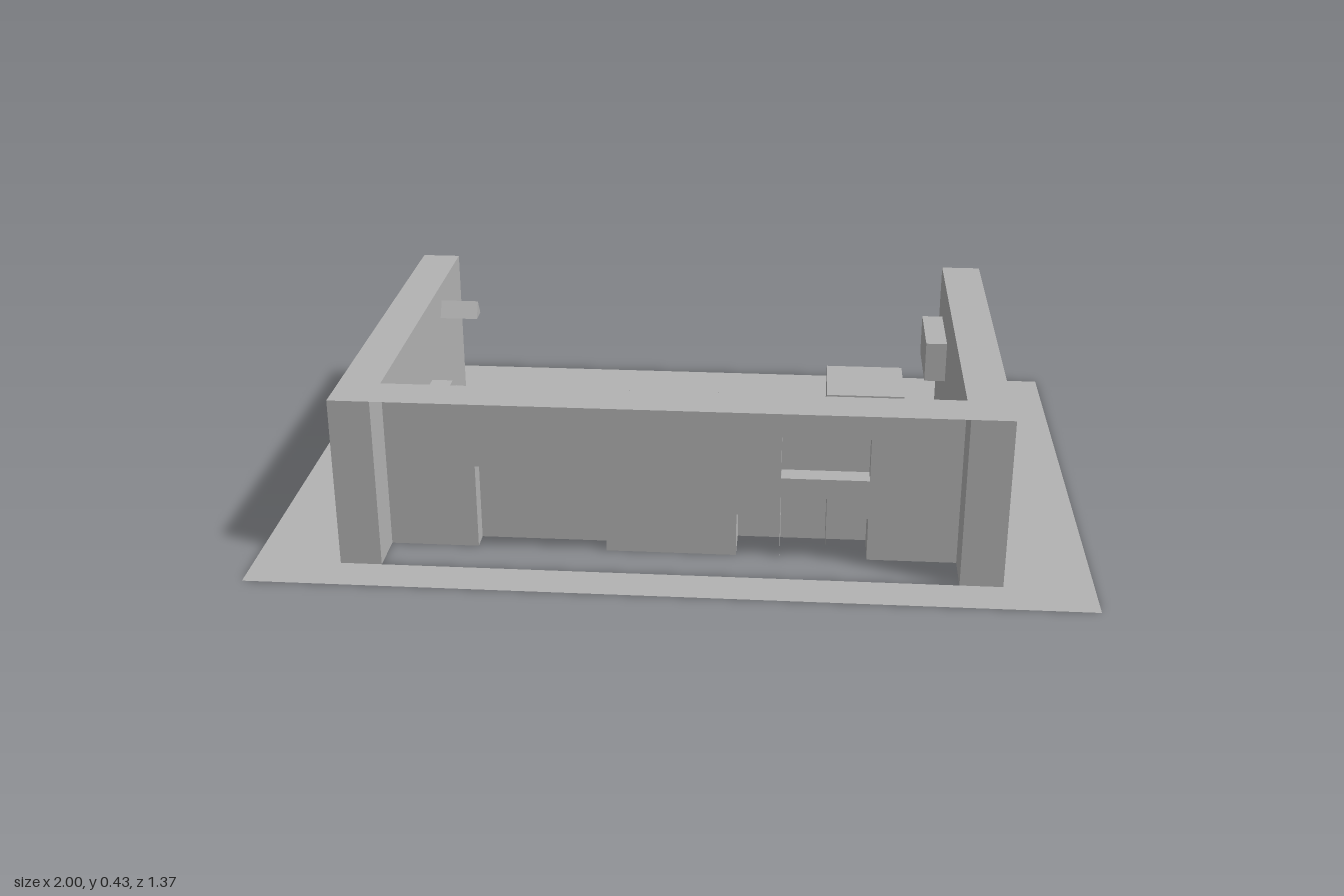
import * as THREE from 'three';

const grey = new THREE.MeshStandardMaterial({ color: 0xb2b2b2, side: THREE.DoubleSide });
grey.name = 'plainGrey';
const SIDES = ['+x', '-x', '+y', '-y', '+z', '-z'];

function add(parent, name, geometry) {
  const mesh = new THREE.Mesh(geometry, grey);
  mesh.name = name;
  parent.add(mesh);
  return mesh;
}

// Box from its limits, leaving out the listed sides
function box(parent, name, [x0, x1], [y0, y1], [z0, z1], open = []) {
  const g = new THREE.BoxGeometry(x1 - x0, y1 - y0, z1 - z0);
  const all = Array.from(g.index.array);
  g.setIndex(SIDES.flatMap((s, i) => (open.includes(s) ? [] : all.slice(i * 6, i * 6 + 6))));
  g.clearGroups();
  g.translate((x0 + x1) / 2, (y0 + y1) / 2, (z0 + z1) / 2);
  return add(parent, name, g);
}

const points = (list) => list.map(([x, y]) => new THREE.Vector2(x, y));
const rect = (x0, x1, y0, y1) => points([[x0, y0], [x1, y0], [x1, y1], [x0, y1]]);

export function createModel() {
  const model = new THREE.Group();
  model.name = 'shopRoom';
  const H = 0.425;

  // Floor, cut away below the walls, wall cabinets and counter (shape y is -z)
  const floor = new THREE.Shape(rect(-1, 1, -0.683, 0.683));
  floor.holes.push(
    new THREE.Path(points([
      [-0.79, 0.475], [-0.69, 0.475], [-0.69, 0.055], [-0.635, 0.055], [-0.635, -0.255], [-0.69, -0.255],
      [-0.69, -0.47], [-0.475, -0.47], [-0.475, -0.42], [-0.16, -0.42], [-0.16, -0.47],
      [0.155, -0.47], [0.155, -0.37], [0.47, -0.37], [0.47, -0.47],
      [0.685, -0.47], [0.685, -0.255], [0.58, -0.255], [0.58, 0.055], [0.685, 0.055],
      [0.685, 0.475], [0.787, 0.475], [0.787, -0.58], [0.685, -0.58], [-0.69, -0.58], [-0.79, -0.58],
    ])),
    new THREE.Path(rect(-0.23, 0.23, -0.235, -0.18)),
  );
  add(model, 'floor', new THREE.ShapeGeometry(floor).rotateX(-Math.PI / 2));

  // Side walls, hollow below
  box(model, 'rightWall', [-0.79, -0.69], [0, H], [-0.475, 0.58], ['-y']);
  box(model, 'leftWall', [0.685, 0.787], [0, H], [-0.475, 0.58], ['-y']);

  // Front wall: inner skin with recess openings, and a top strip
  const skin = new THREE.Shape(points([
    [-0.69, 0], [-0.475, 0], [-0.475, 0.215], [-0.16, 0.215], [-0.16, 0],
    [0.155, 0], [0.155, 0.11], [0.26, 0.11], [0.26, 0.16], [0.37, 0.16], [0.37, 0.11], [0.47, 0.11], [0.47, 0],
    [0.685, 0], [0.685, H], [-0.69, H],
  ]));
  skin.holes.push(new THREE.Path(rect(0.26, 0.47, 0.21, 0.317)));
  add(model, 'frontWall', new THREE.ShapeGeometry(skin).translate(0, 0, 0.47));
  box(model, 'frontWallTop', [-0.69, 0.685], [H - 0.001, H], [0.47, 0.58], ['+x', '-x', '-y', '+z', '-z']);

  // Cabinets against the front wall
  const f = ['-y', '+z'];
  box(model, 'frontCupboard', [-0.475, -0.16], [0, 0.215], [0.42, 0.47], f);
  box(model, 'frontCabinetLow', [0.155, 0.26], [0, 0.11], [0.37, 0.47], f);
  box(model, 'frontCabinetTall', [0.26, 0.37], [0, 0.16], [0.37, 0.47], f);
  box(model, 'frontCabinetEnd', [0.37, 0.47], [0, 0.11], [0.37, 0.47], f);
  box(model, 'frontWallCabinet', [0.26, 0.47], [0.21, 0.317], [0.42, 0.47], ['+z']);

  // Cabinets against the side walls
  box(model, 'sideCupboard', [-0.69, -0.635], [0, 0.215], [-0.055, 0.255], ['-y', '-x']);
  box(model, 'sideCabinetLow', [0.58, 0.685], [0, 0.11], [-0.055, 0.15], ['-y', '+x']);
  box(model, 'sideCabinetTall', [0.58, 0.685], [0, 0.16], [0.15, 0.255], ['-y', '+x']);
  box(model, 'sideWallCabinet', [0.63, 0.685], [0.21, 0.317], [-0.37, -0.16], ['+x']);

  // Free-standing blocks and a turned stool
  box(model, 'deskBlock', [0.37, 0.58], [0, 0.16], [-0.37, -0.16]);
  box(model, 'deskBlock', [-0.585, -0.375], [0, 0.16], [0.155, 0.365]);
  const stool = box(model, 'stool', [-0.035, 0.035], [0, 0.07], [-0.035, 0.035]);
  stool.position.set(0.312, 0, -0.32);
  stool.rotation.y = Math.PI / 4;

  // Long counter with an overhanging top
  box(model, 'counterBase', [-0.23, 0.23], [0, 0.09], [0.18, 0.235], ['-y']);
  box(model, 'counterTop', [-0.26, 0.26], [0.09, 0.11], [0.15, 0.255]);

  // Two stacked slab seats
  for (const [x, z] of [[-0.54, 0.09], [0.305, 0.197]]) {
    const seat = new THREE.Group();
    seat.name = 'slabSeat';
    seat.position.set(x, 0, z);
    box(seat, 'seatFoot', [-0.015, 0.035], [0, 0.07], [0, 0.045]);
    box(seat, 'seatSlab', [-0.025, 0.05], [0.07, 0.09], [0.012, 0.047]);
    box(seat, 'seatMiddle', [-0.005, 0.05], [0.09, 0.12], [-0.025, 0.03]);
    const top = box(seat, 'seatTop', [-0.025, 0.025], [0.12, 0.15], [-0.022, 0.022]);
    top.position.set(-0.014, 0, -0.012);
    top.rotation.y = 0.33;
    model.add(seat);
  }

  // Triangular wall lamps
  const tri = new THREE.Shape(points([[-0.026, 0], [0.026, 0], [0, 0.042]]));
  const lamp = new THREE.ExtrudeGeometry(tri, { depth: 0.1, bevelEnabled: false });
  for (const x of [-0.53, -0.11, 0.105, 0.525]) add(model, 'wallLamp', lamp).position.set(x, 0.342, 0.37);
  const sideLamp = add(model, 'sideWallLamp', lamp);
  sideLamp.position.set(-0.688, 0.342, -0.215);
  sideLamp.rotation.y = Math.PI / 2;

  return model;
}
